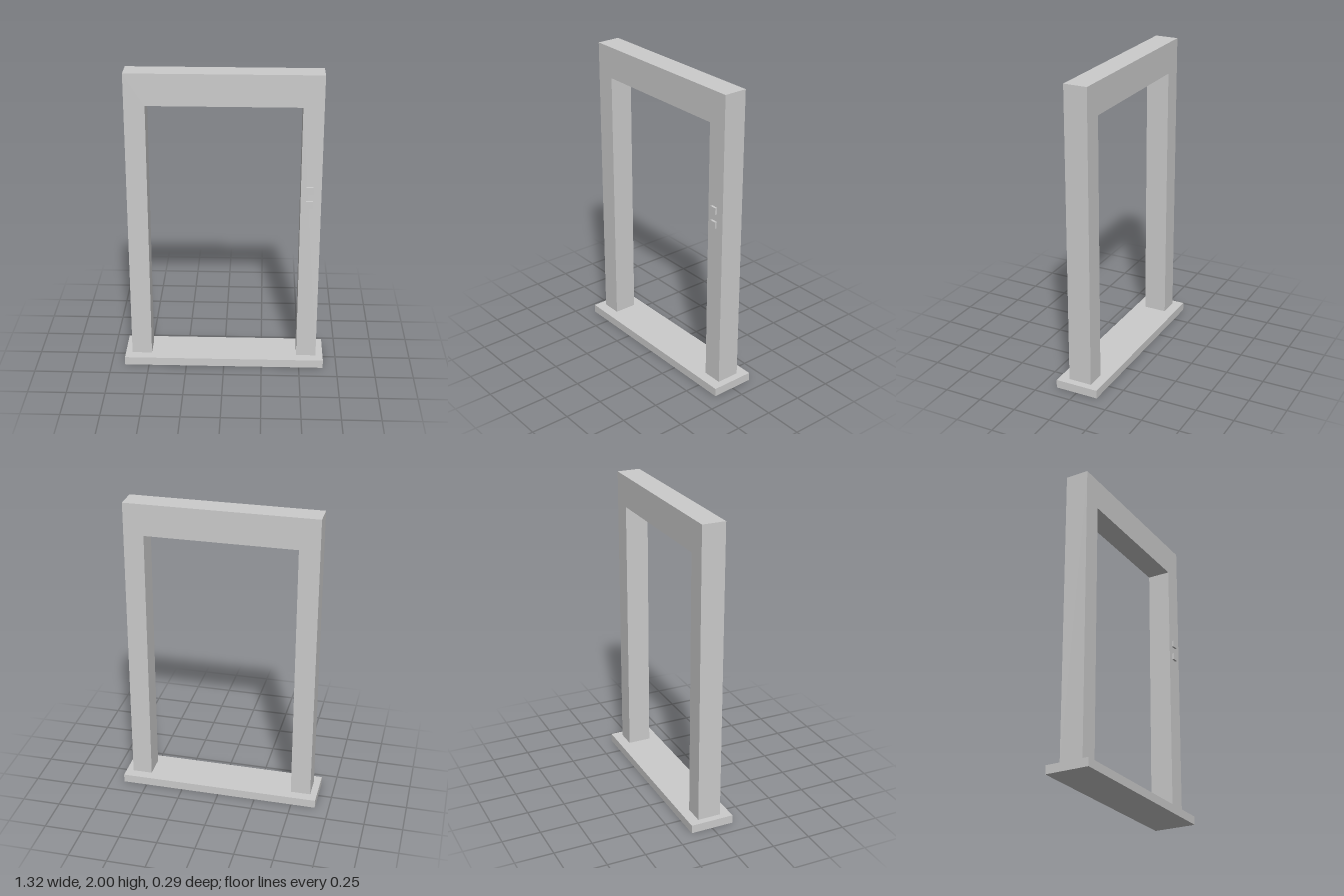
import * as THREE from 'three';

const material = new THREE.MeshStandardMaterial({ color: 0xcccccc, flatShading: true });

function add(group, name, geometry, x, y, z) {
  const mesh = new THREE.Mesh(geometry, material);
  mesh.name = name;
  mesh.position.set(x, y, z);
  group.add(mesh);
}

export function createModel() {
  const model = new THREE.Group();
  model.name = 'doorFrame';
  const baseTop = 0.055;

  // Threshold slab
  add(model, 'threshold', new THREE.BoxGeometry(1.32, baseTop, 0.287), 0, baseTop / 2, 0);

  // Two posts and lintel as one arch-shaped extrusion
  const arch = new THREE.Shape([
    [-0.616, baseTop], [-0.485, baseTop], [-0.485, 1.795], [0.483, 1.795],
    [0.483, baseTop], [0.613, baseTop], [0.613, 2], [-0.616, 2],
  ].map(([x, y]) => new THREE.Vector2(x, y)));
  const archGeometry = new THREE.ExtrudeGeometry(arch, { depth: 0.153, bevelEnabled: false });
  add(model, 'postsAndLintel', archGeometry, 0, 0, -0.077);

  // Call buttons on the front of the left post
  for (const [name, y] of [['lowerButton', 1.158], ['upperButton', 1.252]]) {
    add(model, name, new THREE.BoxGeometry(0.044, 0.044, 0.024), 0.539, y, 0.078);
  }

  return model;
}
